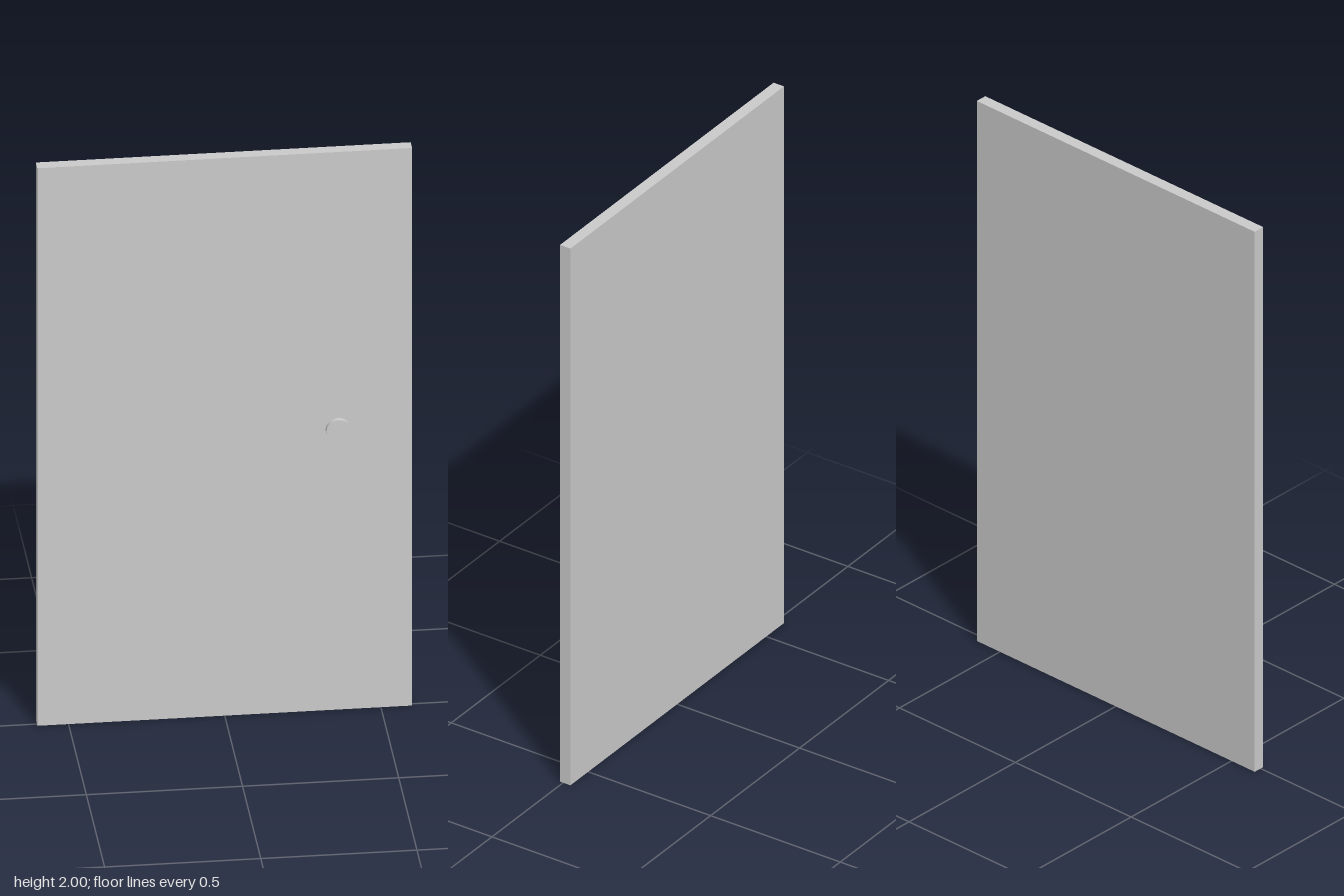
import * as THREE from 'three';

export function createModel() {
  const group = new THREE.Group();
  group.name = 'door';
  const material = new THREE.MeshStandardMaterial({ color: 0xcccccc });

  // Flat door slab
  const panel = new THREE.Mesh(new THREE.BoxGeometry(1.2, 2, 0.04), material);
  panel.name = 'doorPanel';
  panel.position.set(0, 1, -0.008);
  group.add(panel);

  // Short round knob on the front, its inner end sunk into the slab
  const knobGeometry = new THREE.CylinderGeometry(0.04, 0.04, 0.026, 32);
  knobGeometry.rotateX(Math.PI / 2);
  const knob = new THREE.Mesh(knobGeometry, material);
  knob.name = 'doorKnob';
  knob.position.set(0.363, 1.006, 0.015);
  group.add(knob);

  return group;
}
